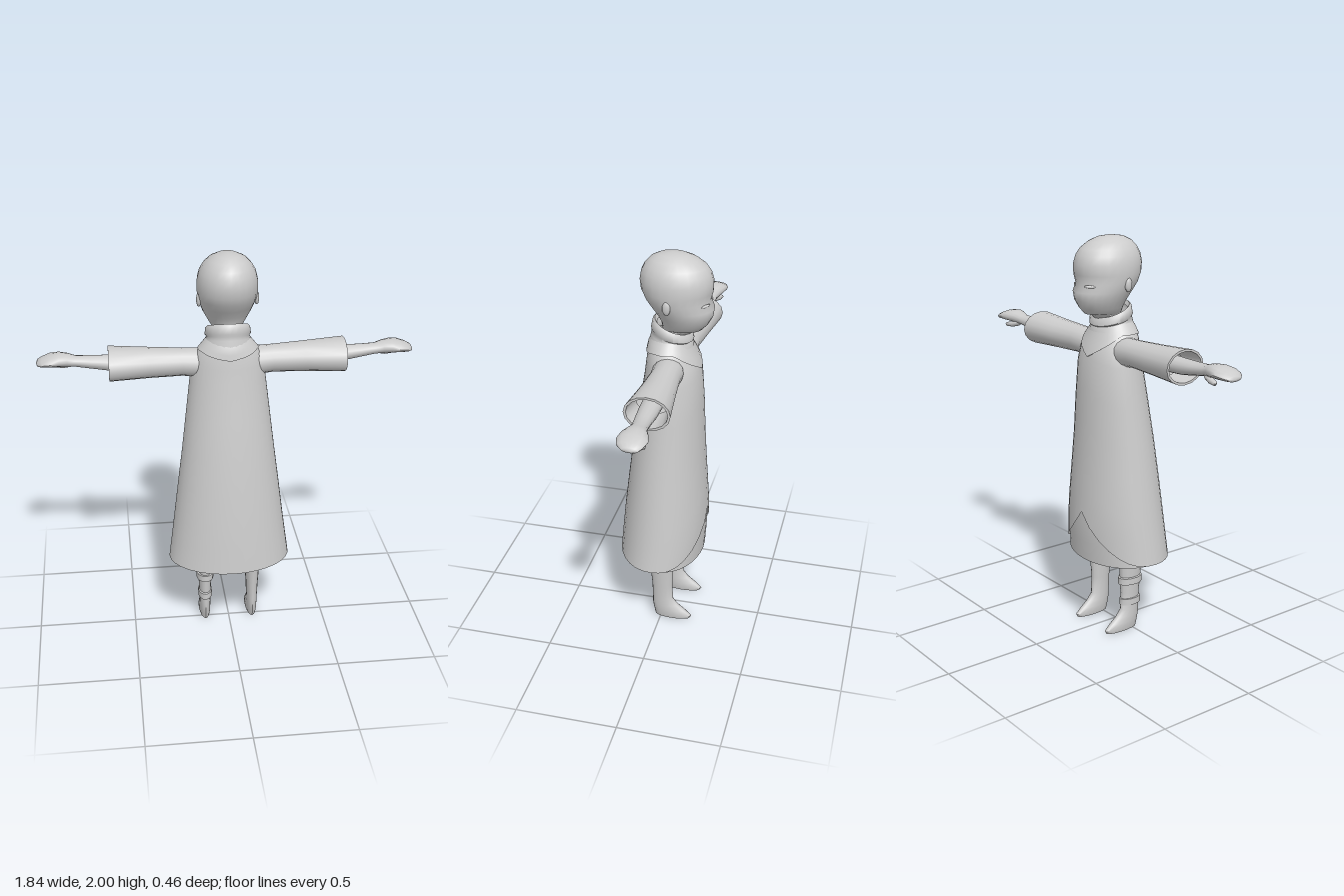
import * as THREE from 'three';
import { toCreasedNormals } from 'three/addons/utils/BufferGeometryUtils.js';

const grey = new THREE.MeshStandardMaterial({ color: 0xcccccc, side: THREE.DoubleSide });
grey.name = 'soft grey';
const pale = new THREE.MeshStandardMaterial({ color: 0xf0f0f0 });
pale.name = 'pale eye';

// Grid surface: point(angle, row) with rows from bottom to top; angle 0 faces -z.
function surface(point, rows, sides, from = 0, to = Math.PI * 2, crease = 0.95) {
  const pos = [], index = [];
  for (let j = 0; j < rows; j++) {
    for (let i = 0; i <= sides; i++) pos.push(...point(from + (to - from) * i / sides, j));
  }
  for (let j = 0; j < rows - 1; j++) {
    for (let i = 0; i < sides; i++) {
      const a = j * (sides + 1) + i, b = a + sides + 1;
      index.push(a, b, a + 1, a + 1, b, b + 1);
    }
  }
  const g = new THREE.BufferGeometry();
  g.setAttribute('position', new THREE.Float32BufferAttribute(pos, 3));
  g.setIndex(index);
  return toCreasedNormals(g, crease);
}

// Loft through elliptical sections [y, centreX, centreZ, radiusX, radiusZ].
const loft = (s, sides) => surface((a, j) => {
  const [y, cx, cz, rx, rz] = s[j];
  return [cx + rx * Math.sin(a), y, cz - rz * Math.cos(a)];
}, s.length, sides);

// Section from a half width and the front and back z.
const span = ([y, rx, front, back]) => [y, 0, (front + back) / 2, rx, (back - front) / 2];

function add(parent, name, geometry, material = grey) {
  const m = new THREE.Mesh(geometry, material);
  m.name = name;
  parent.add(m);
  return m;
}

// Robe outline: [y, half width, front z, back z]
const robe = [
  [0.36, 0.315, -0.2, 0.235], [0.4, 0.31, -0.207, 0.23], [0.6, 0.283, -0.217, 0.213],
  [0.8, 0.258, -0.205, 0.19], [1.0, 0.232, -0.192, 0.165], [1.2, 0.208, -0.186, 0.135],
  [1.4, 0.184, -0.174, 0.102], [1.47, 0.172, -0.155, 0.094], [1.52, 0.15, -0.13, 0.088],
  [1.56, 0.12, -0.112, 0.08], [1.6, 0.09, -0.1, 0.06],
];
function robePoint(a, y, scale = 1) {
  let k = 1;
  while (k < robe.length - 1 && robe[k][0] < y) k++;
  const lo = robe[k - 1], hi = robe[k], t = (y - lo[0]) / (hi[0] - lo[0]);
  const [, cx, cz, rx, rz] = span(lo.map((v, i) => v + (hi[i] - v) * t));
  return [cx + scale * rx * Math.sin(a), y, cz - scale * rz * Math.cos(a)];
}

function addRobe(body) {
  // Outer coat, hem swept up to a point at the front
  const levels = [0, 0.1, 0.2, 0.35, 0.5, 0.66, 0.82, 0.88, 0.93, 0.965, 1];
  add(body, 'coat', surface((a, j) => {
    const hem = 0.4 + 0.24 * Math.max(0, 1 - Math.abs(a) / 1.3) ** 2;
    return robePoint(a, hem + (1.6 - hem) * levels[j]);
  }, levels.length, 32, -Math.PI, Math.PI));
  // Inner folded hem gives the cloth some thickness
  add(body, 'coatLining', surface((a, j) => {
    const hem = 0.4 + 0.24 * Math.max(0, 1 - Math.abs(a) / 1.3) ** 2;
    return robePoint(a, hem + 0.1 * j, j ? 0.94 : 1);
  }, 2, 32, -Math.PI, Math.PI));
  // Underskirt seen through the front opening
  add(body, 'underskirt', surface((a, j) =>
    robePoint(a, 0.38 + 0.02 * (1 - Math.cos(a)) + 0.1 * j, 0.965), 5, 16, -1.4, 1.4));
  // Pointed collar flap lying on the shoulders
  add(body, 'collarFlap', surface((a, j) => {
    const front = Math.max(0, 1 - Math.abs(a) / 1.1);
    const back = Math.max(0, 1 - (Math.PI - Math.abs(a)) / 1.1);
    const low = 1.535 - 0.11 * front - 0.03 * back;
    return robePoint(a, low + (1.585 - low) * Math.max(0, j - 1) / 3, j === 0 ? 1.0 : 1.06);
  }, 5, 32, -Math.PI, Math.PI));
  // Rolled neck, higher at the back: [base y, half width, front z, back z, tilt]
  const neck = [
    [1.555, 0.118, -0.13, 0.082, 0.1], [1.585, 0.108, -0.125, 0.074, 0.2],
    [1.6, 0.104, -0.122, 0.07, 0.28], [1.61, 0.112, -0.13, 0.074, 0.3],
    [1.645, 0.108, -0.128, 0.066, 0.4], [1.657, 0.098, -0.118, 0.056, 0.4],
    [1.64, 0.085, -0.105, 0.045, 0.4],
  ];
  add(body, 'neckRoll', surface((a, j) => {
    const [y, rx, f, b, tilt] = neck[j];
    const z = (f + b) / 2 - (b - f) / 2 * Math.cos(a);
    return [rx * Math.sin(a), y + tilt * z, z];
  }, neck.length, 24));
}

function addHead(body) {
  const head = new THREE.Group();
  head.name = 'head';
  body.add(head);
  add(head, 'skull', loft([
    [1.58, 0.06, -0.09, 0.03], [1.625, 0.062, -0.14, 0.02], [1.632, 0.075, -0.175, 0.02],
    [1.66, 0.093, -0.2, 0.025], [1.7, 0.115, -0.222, 0.045], [1.74, 0.13, -0.228, 0.075],
    [1.78, 0.14, -0.208, 0.102], [1.82, 0.146, -0.22, 0.121], [1.87, 0.144, -0.222, 0.127],
    [1.91, 0.134, -0.21, 0.12], [1.94, 0.117, -0.19, 0.105], [1.97, 0.09, -0.147, 0.078],
    [1.99, 0.053, -0.1, 0.038], [2.0, 0, -0.03, -0.03],
  ].map(span), 24));
  for (const s of [1, -1]) {
    const side = s > 0 ? 'left' : 'right';
    // Narrow eyes
    const eye = add(head, side + 'Eye', new THREE.SphereGeometry(1, 12, 8), pale);
    eye.scale.set(0.028, 0.007, 0.004);
    eye.position.set(0.06 * s, 1.772, -0.198);
    eye.rotation.y = -0.56 * s;
    // Flat ears
    const ear = add(head, side + 'Ear', new THREE.SphereGeometry(1, 10, 8));
    ear.scale.set(0.012, 0.034, 0.02);
    ear.position.set(0.138 * s, 1.775, -0.03);
  }
}

// Arm lofts run upward, then turn to point along +x (section x becomes -y).
function addArm(body, s) {
  const arm = new THREE.Group();
  arm.name = s > 0 ? 'leftArm' : 'rightArm';
  arm.scale.x = s;
  body.add(arm);
  const limb = (name, sections, sides) => add(arm, name,
    loft(sections.map(([x, y, z, ry, rz]) => [x, -y, z, ry, rz]), sides).rotateZ(-Math.PI / 2));
  // Flared sleeve with an open cuff
  limb('sleeve', [
    [0.08, 1.45, -0.035, 0.065, 0.07], [0.15, 1.455, -0.04, 0.07, 0.075],
    [0.22, 1.459, -0.043, 0.067, 0.072], [0.38, 1.461, -0.047, 0.073, 0.086],
    [0.575, 1.463, -0.049, 0.083, 0.108], [0.575, 1.463, -0.049, 0.072, 0.096],
    [0.45, 1.463, -0.048, 0.062, 0.08],
  ], 16);
  // Forearm, wrist and mitten-like hand
  limb('forearmAndHand', [
    [0.4, 1.465, -0.052, 0.044, 0.05], [0.575, 1.467, -0.053, 0.038, 0.046],
    [0.66, 1.474, -0.055, 0.031, 0.04], [0.73, 1.481, -0.057, 0.026, 0.037],
    [0.77, 1.488, -0.059, 0.031, 0.047], [0.81, 1.492, -0.06, 0.031, 0.062],
    [0.85, 1.49, -0.06, 0.027, 0.07], [0.89, 1.483, -0.06, 0.02, 0.058],
    [0.913, 1.477, -0.065, 0.012, 0.038], [0.92, 1.475, -0.068, 0, 0],
  ], 14);
  // Thumb hanging below the palm
  limb('thumb', [
    [0.73, 1.47, -0.07, 0, 0], [0.75, 1.462, -0.076, 0.016, 0.018],
    [0.79, 1.45, -0.088, 0.015, 0.018], [0.825, 1.446, -0.098, 0.011, 0.013],
    [0.84, 1.447, -0.102, 0, 0],
  ], 8);
}

function addLeg(body, s) {
  const leg = new THREE.Group();
  leg.name = s > 0 ? 'leftLeg' : 'rightLeg';
  leg.position.x = 0.125 * s;
  body.add(leg);
  // Shin running down into a pointed foot
  add(leg, 'shinAndFoot', loft([
    [0, 0, -0.06, 0, 0], [0, 0.02, -0.16, 0.028, 0.032].map((v, i) => [0, 0.026, -0.155, 0.03][i]).slice(0, 4),
    [0.015, 0.03, -0.164, 0.034], [0.045, 0.03, -0.13, 0.04], [0.075, 0.029, -0.092, 0.045],
    [0.11, 0.028, -0.064, 0.045], [0.2, 0.032, -0.06, 0.048], [0.3, 0.038, -0.065, 0.058],
    [0.4, 0.043, -0.069, 0.064], [0.7, 0.05, -0.07, 0.068], [0.7, 0, 0, 0],
  ].map((v) => (v.length === 5 ? v : span(v))), 14));
  // Two wrapped bands on one shin
  if (s < 0) {
    for (const [y, rx, rz] of [[0.268, 0.045, 0.068], [0.153, 0.036, 0.061]]) {
      add(leg, 'shinBand', loft([
        [y - 0.022, 0, -0.005, rx - 0.012, rz - 0.012], [y - 0.017, 0, -0.005, rx, rz],
        [y + 0.017, 0, -0.005, rx, rz], [y + 0.022, 0, -0.005, rx - 0.012, rz - 0.012],
      ], 14));
    }
  }
}

export function createModel() {
  const model = new THREE.Group();
  model.name = 'robedFigure';
  addRobe(model);
  addHead(model);
  for (const s of [1, -1]) {
    addArm(model, s);
    addLeg(model, s);
  }
  return model;
}
